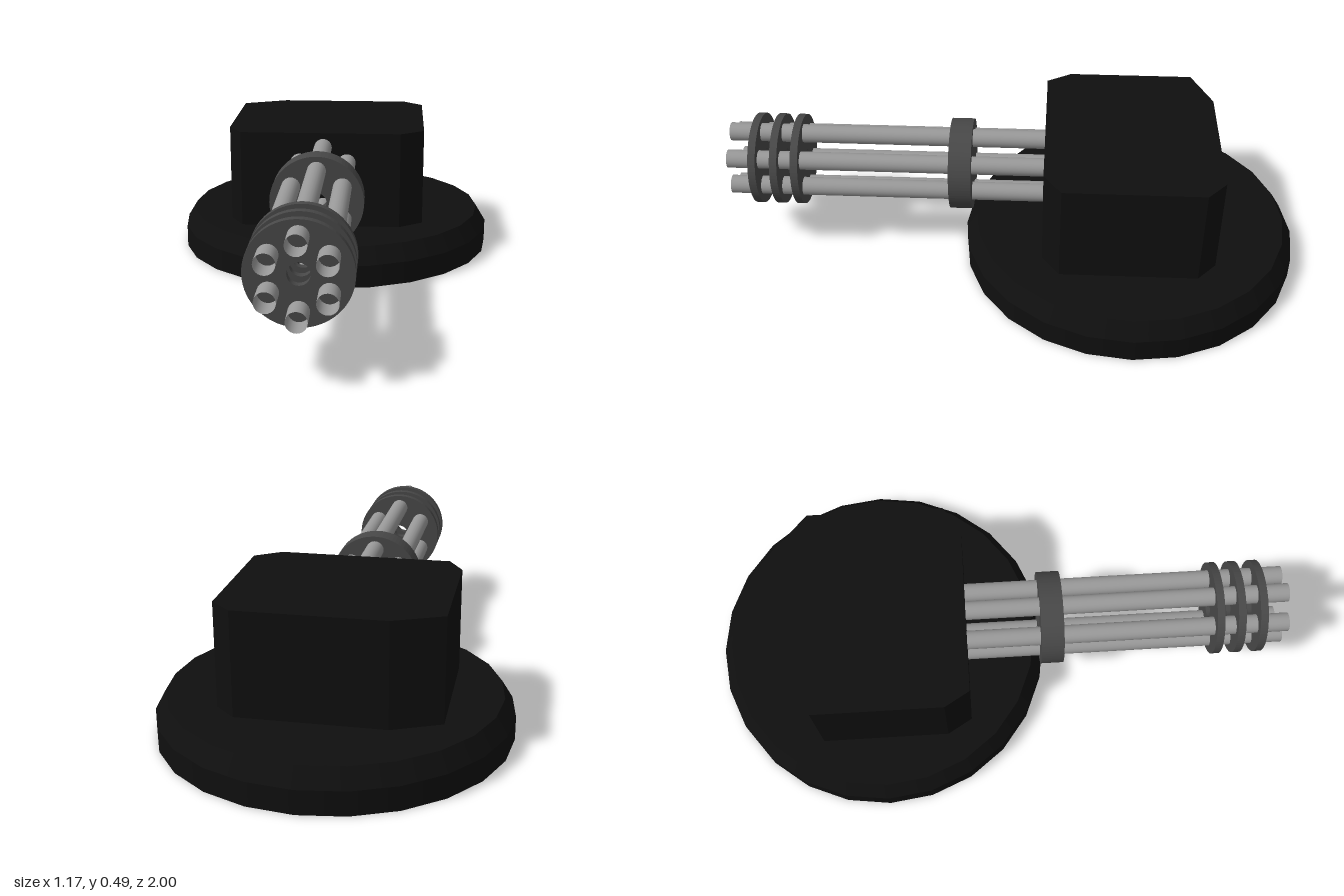
import * as THREE from 'three';

export function createModel() {
  const model = new THREE.Group();
  model.name = 'rotaryTurret';

  const black = new THREE.MeshStandardMaterial({ color: 0x0f0f0f });
  black.name = 'black housing';
  const darkGrey = new THREE.MeshStandardMaterial({ color: 0x484848 });
  darkGrey.name = 'dark grey clamp';
  const steel = new THREE.MeshStandardMaterial({ color: 0x999999, side: THREE.DoubleSide });
  steel.name = 'grey barrel';

  const add = (name, geometry, material, x, y, z, parent = model) => {
    const mesh = new THREE.Mesh(geometry, material);
    mesh.name = name;
    mesh.position.set(x, y, z);
    parent.add(mesh);
    return mesh;
  };

  // Round base with a bevelled upper rim
  const baseZ = -0.413;
  add('baseDisc', new THREE.CylinderGeometry(0.587, 0.587, 0.08, 24), black, 0, 0.04, baseZ);
  add('baseBevel', new THREE.CylinderGeometry(0.55, 0.587, 0.06, 24), black, 0, 0.11, baseZ);

  // Housing block with cut corners, drawn in plan as (x, -z)
  const plan = [
    [-0.33, 0.105], [0.25, 0.105], [0.335, 0.165], [0.335, 0.635],
    [0.265, 0.70], [-0.22, 0.70], [-0.38, 0.63], [-0.38, 0.19],
  ].map(([x, y]) => new THREE.Vector2(x, y));
  const housing = new THREE.ExtrudeGeometry(new THREE.Shape(plan), { depth: 0.35, bevelEnabled: false });
  housing.rotateX(-Math.PI / 2);
  add('housing', housing, black, 0, 0.14, 0);

  // Barrel cluster, built around its own axis along z
  const cluster = new THREE.Group();
  cluster.name = 'barrelCluster';
  cluster.position.set(-0.03, 0.326, 0);
  model.add(cluster);

  const barrel = new THREE.CylinderGeometry(0.032, 0.032, 1.12, 24, 1, true);
  barrel.rotateX(Math.PI / 2);
  for (let i = 0; i < 6; i++) {
    const a = Math.PI / 2 + (i * Math.PI) / 3;
    add('barrel', barrel, steel, Math.cos(a) * 0.1, Math.sin(a) * 0.111, 0.44, cluster);
  }

  // Clamp discs with an open centre: [back z, thickness]
  const ring = new THREE.Shape().absarc(0, 0, 0.16, 0, Math.PI * 2);
  ring.holes.push(new THREE.Path().absarc(0, 0, 0.034, 0, Math.PI * 2, true));
  for (const [z, depth] of [[0.147, 0.078], [0.745, 0.026], [0.817, 0.026], [0.892, 0.026]]) {
    const clamp = new THREE.ExtrudeGeometry(ring, { depth, bevelEnabled: false, curveSegments: 40 });
    add('clampDisc', clamp, darkGrey, 0, 0, z, cluster);
  }

  return model;
}
